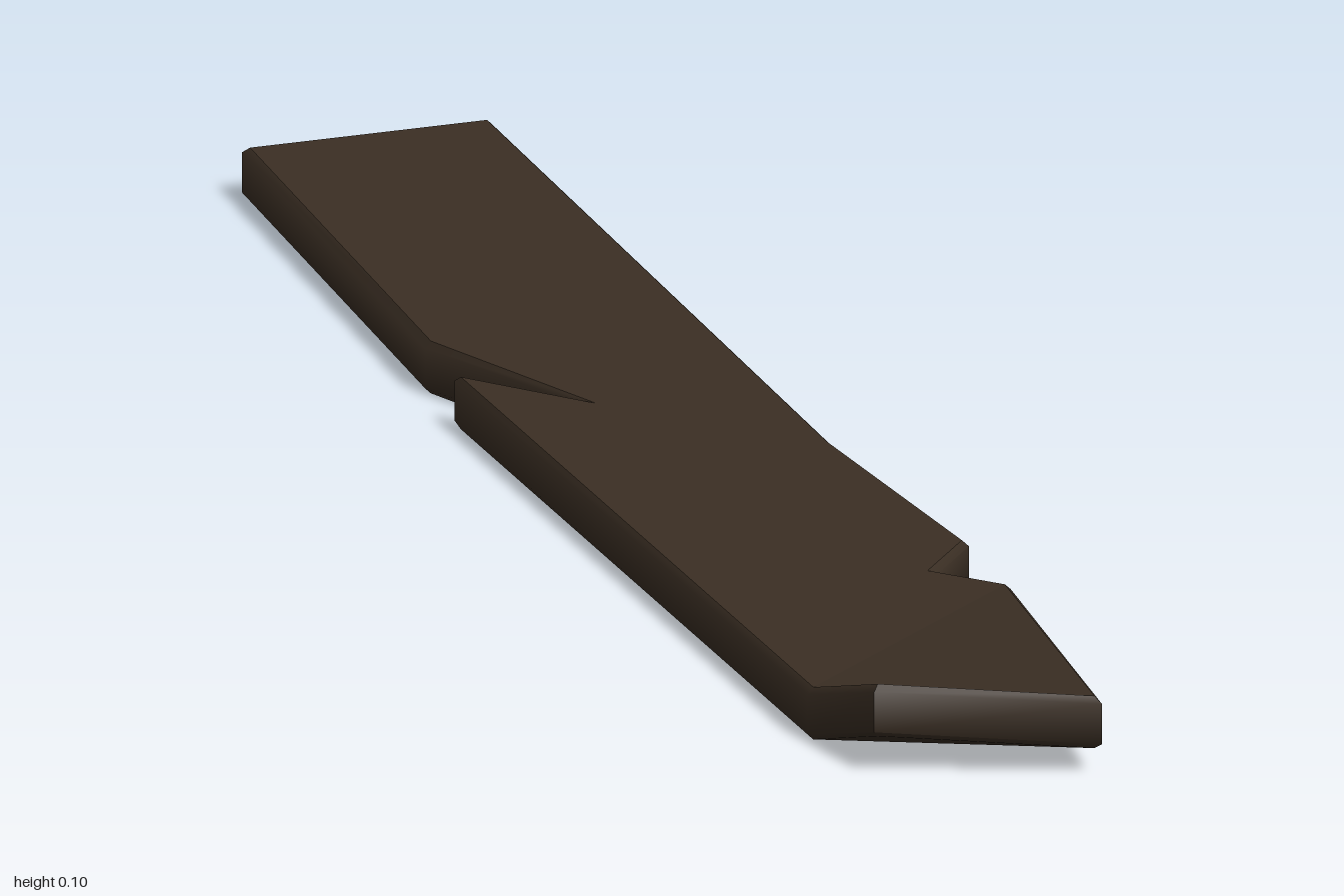
import * as THREE from 'three';
import { mergeGeometries, toCreasedNormals } from 'three/addons/utils/BufferGeometryUtils.js';

// Plank outline, counter-clockwise from above: x, z, lift of the warped tip
const OUTLINE = [
  [-0.17, -1, 0], [-0.178, -0.36, 0], [-0.07, -0.13, 0], [-0.18, -0.255, 0],
  [-0.132, 0.79, 0], [-0.1, 0.92, 0.044], [0.132, 1, 0.031], [0.18, 0.55, 0],
  [0.117, 0.485, 0], [0.18, 0.41, 0], [0.14, 0.07, 0], [0.113, -1, 0],
];
const THICKNESS = 0.06;
const BEVEL = 0.007;

// One copy of the outline at height y, moved inwards by inset
function makeRing(y, inset) {
  const n = OUTLINE.length;
  const at = (i) => new THREE.Vector2(OUTLINE[(i + n) % n][0], -OUTLINE[(i + n) % n][1]);
  return OUTLINE.map(([, , lift], i) => {
    const p = at(i);
    const a = p.clone().sub(at(i - 1)).normalize();
    const b = at(i + 1).sub(p).normalize();
    const inward = new THREE.Vector2(-a.y - b.y, a.x + b.x).normalize();
    const cos = inward.x * -a.y + inward.y * a.x;
    p.addScaledVector(inward, inset * Math.min(1 / cos, 1.5));
    return new THREE.Vector3(p.x, y + lift, -p.y);
  });
}

function fromTriangles(points) {
  const geometry = new THREE.BufferGeometry().setFromPoints(points);
  geometry.computeVertexNormals();
  return geometry;
}

// Flat faces: body plus two triangles that fold up at the tip
function capTriangles() {
  const body = [0, 1, 2, 3, 4, 7, 8, 9, 10, 11];
  const contour = body.map((i) => new THREE.Vector2(OUTLINE[i][0], -OUTLINE[i][1]));
  const faces = THREE.ShapeUtils.triangulateShape(contour, []).map((f) => f.map((k) => body[k]));
  return [...faces, [4, 6, 7], [4, 5, 6]];
}

export function createModel() {
  const darkWood = new THREE.MeshStandardMaterial({ color: 0x3b2f24 });
  darkWood.name = 'darkWood';

  const rings = [
    makeRing(0, BEVEL), makeRing(BEVEL, 0),
    makeRing(THICKNESS - BEVEL, 0), makeRing(THICKNESS, BEVEL),
  ];

  // Sides with softened edges
  const walls = [];
  const n = OUTLINE.length;
  for (let r = 0; r < rings.length - 1; r++) {
    for (let i = 0; i < n; i++) {
      const j = (i + 1) % n;
      const [a, b, c, d] = [rings[r][i], rings[r][j], rings[r + 1][j], rings[r + 1][i]];
      walls.push(a, b, c, a, c, d);
    }
  }

  // Top and underside
  const caps = [];
  for (const [a, b, c] of capTriangles()) {
    caps.push(rings[3][a], rings[3][b], rings[3][c]);
    caps.push(rings[0][a], rings[0][c], rings[0][b]);
  }

  const wallGeometry = toCreasedNormals(fromTriangles(walls), 0.9);
  const plank = new THREE.Mesh(mergeGeometries([wallGeometry, fromTriangles(caps)]), darkWood);
  plank.name = 'brokenPlank';

  const group = new THREE.Group();
  group.name = 'plank';
  group.add(plank);
  return group;
}
